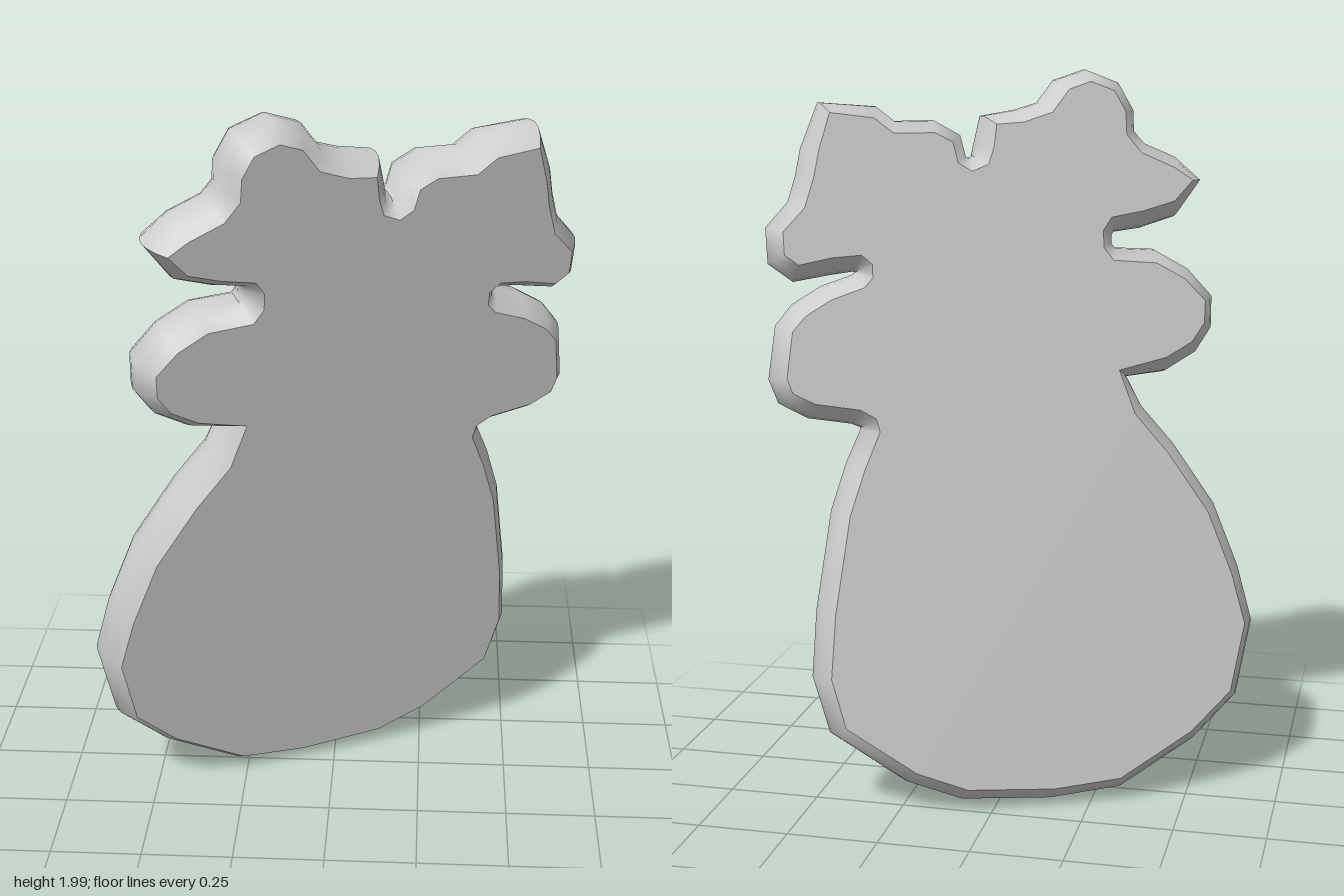
import * as THREE from 'three';
import { toCreasedNormals } from 'three/addons/utils/BufferGeometryUtils.js';

// Outline of the front face (x, y in hundredths), counter-clockwise from the bottom
const OUTLINE = [
  -9, 4, 13, 5.5, 26, 11, 44, 24.5, 48, 38, 47.5, 55, 44.7, 81, 41.5, 93, 38, 103,
  39, 106.5, 43, 109, 54, 111, 59.5, 114, 61, 118, 60, 130, 57, 134, 51, 138, 43, 141,
  41, 143.5, 41.2, 147, 44, 149.5, 51, 149, 59, 147.3, 62.5, 150, 63, 156, 58, 162,
  56, 170, 55, 177, 52.7, 186.5, 42, 185, 37, 181, 27, 181, 22.5, 178.5, 21, 173,
  17.5, 170.8, 13.5, 172.5, 12.3, 177, 11.8, 183, 5, 183.5, -2, 186, -6, 192, -11.4, 194,
  -17.5, 191.5, -20.5, 186, -21, 180, -25, 175, -33.5, 171, -38.5, 167.5, -34, 162,
  -26, 159.5, -18, 158, -16, 154.5, -16.3, 150, -19, 146.5, -30, 145.5, -37.5, 141,
  -43, 135, -43, 129, -40, 124, -33.5, 120, -21.5, 117, -26, 105, -35, 94, -46, 77.5,
  -53, 60, -57, 46, -54, 27.5, -44, 17, -26, 5.5,
];
const THICKNESS = 0.18, BULGE = 0.043, STEPS = 6;
const NORMAL = new THREE.Vector3(0.445, -0.167, 1).normalize();

// Places an outline point on the tilted front plane
const onPlane = (p) => new THREE.Vector3(p.x, p.y, -0.062 - 0.445 * p.x + 0.167 * p.y);

function buildGeometry(positions, index) {
  const g = new THREE.BufferGeometry();
  g.setAttribute('position', new THREE.Float32BufferAttribute(positions.flatMap((v) => v.toArray()), 3));
  g.setIndex(index);
  g.computeVertexNormals();
  return g;
}

export function createModel() {
  const group = new THREE.Group();
  const material = new THREE.MeshStandardMaterial({ color: 0xcccccc });
  const add = (name, geometry) => {
    const mesh = new THREE.Mesh(geometry, material);
    mesh.name = name;
    group.add(mesh);
  };

  const flat = [];
  for (let i = 0; i < OUTLINE.length; i += 2) {
    flat.push(new THREE.Vector2(OUTLINE[i] / 100, OUTLINE[i + 1] / 100));
  }
  const n = flat.length;
  const front = flat.map(onPlane);
  const back = front.map((p) => p.clone().addScaledVector(NORMAL, -THICKNESS));

  // Outward direction at each corner, within the slab's plane
  const outward = front.map((p, i) => {
    const edgeNormal = (a, b) => b.clone().sub(a).cross(NORMAL).normalize();
    const before = edgeNormal(front[(i + n - 1) % n], p);
    const after = edgeNormal(p, front[(i + 1) % n]);
    return before.add(after).normalize();
  });

  // Flat faces
  const faces = THREE.ShapeUtils.triangulateShape(flat, []);
  add('frontFace', buildGeometry(front, faces.flat()));
  add('backFace', buildGeometry(back, faces.flatMap(([a, b, c]) => [a, c, b])));

  // Bulging rim: loops of the outline swept from front to back
  const rim = [], index = [];
  for (let s = 0; s <= STEPS; s++) {
    const t = s / STEPS;
    const swell = BULGE * 4 * t * (1 - t);
    front.forEach((p, i) => rim.push(
      p.clone().addScaledVector(NORMAL, -THICKNESS * t).addScaledVector(outward[i], swell)));
  }
  for (let s = 0; s < STEPS; s++) {
    for (let i = 0; i < n; i++) {
      const a = s * n + i, b = s * n + (i + 1) % n;
      index.push(a, a + n, b, b, a + n, b + n);
    }
  }
  add('rim', toCreasedNormals(buildGeometry(rim, index), 0.9));
  return group;
}
